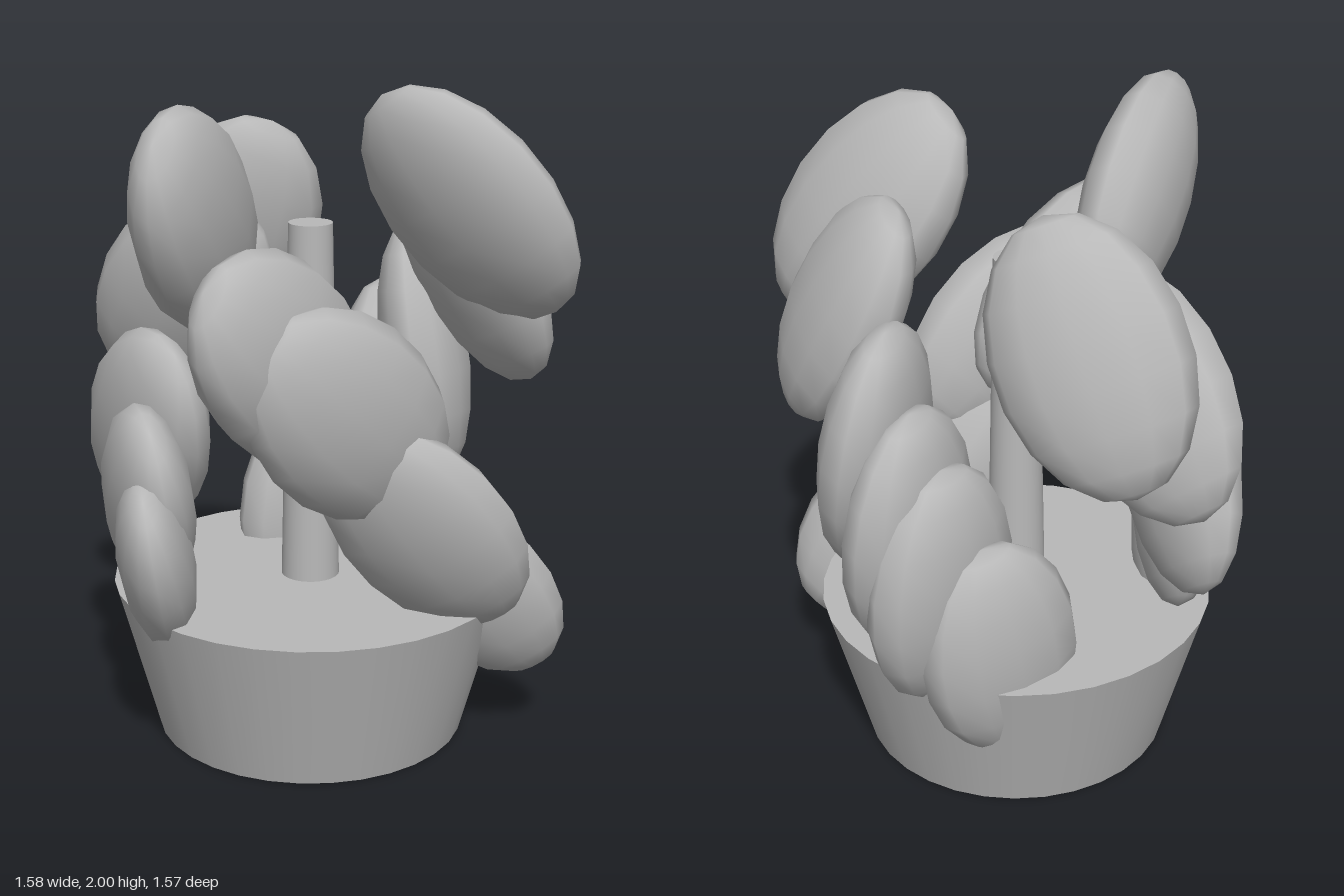
import * as THREE from 'three';

const grey = new THREE.MeshStandardMaterial({ color: 0xb8b8b8 });
grey.name = 'plain grey';

// Each pad: centre x, y, z, then heading of its blade, sideways lean and
// spin of its long axis within the blade, in degrees, and its size
const frontPads = [
  [0.53, 0.50, -0.08, -18, 15, -56, 0.81],
  [0.445, 0.755, 0.14, -15, 21, -57, 0.95],
  [0.295, 1.125, 0.34, 121, -6, 43, 0.98],
  [0.13, 1.29, 0.42, 101, 2, 38, 0.99],
  [-0.13, 1.65, 0.43, 80, 0, 40, 1],
];
const leftPads = [
  [-0.275, 0.63, 0.44, 238, -8, -52, 0.82],
  [-0.365, 0.77, 0.33, 227, -8, -50, 0.93],
  [-0.45, 0.94, 0.18, 211, -8, -50, 0.97],
  [-0.47, 1.30, -0.08, 178, -15, -51, 0.98],
  [-0.42, 1.47, -0.28, 157, -15, -68, 1],
];
const backPads = [
  [-0.23, 0.55, -0.44, 294, -2, 80, 0.91],
  [-0.08, 0.76, -0.52, 277, -4, 88, 0.96],
  [0.03, 0.91, -0.52, 265, -6, 84, 0.98],
  [0.18, 1.11, -0.47, 253, -10, 80, 1],
  [0.39, 1.425, -0.33, 30, 20, -68, 0.95],
  [0.46, 1.655, -0.12, 6, 23, -57, 1],
];

function createModel() {
  const model = new THREE.Group();
  model.name = 'pottedPlant';

  // Tapered pot
  const pot = new THREE.Mesh(new THREE.CylinderGeometry(0.605, 0.475, 0.48, 32), grey);
  pot.name = 'pot';
  pot.position.set(-0.005, 0.24, -0.03);
  model.add(pot);

  // Slim central stem
  const stem = new THREE.Mesh(new THREE.CylinderGeometry(0.066, 0.09, 1.15, 32), grey);
  stem.name = 'stem';
  stem.position.set(-0.005, 1.005, -0.03);
  model.add(stem);

  // Three rising chains of flattened pads winding round the stem
  const padShape = new THREE.SphereGeometry(1, 12, 9);
  padShape.rotateZ(Math.PI / 2);
  const rad = THREE.MathUtils.degToRad;
  const chains = { frontChain: frontPads, leftChain: leftPads, backChain: backPads };
  for (const [name, pads] of Object.entries(chains)) {
    const chain = new THREE.Group();
    chain.name = name;
    pads.forEach(([x, y, z, heading, lean, spin, size], i) => {
      const pad = new THREE.Mesh(padShape, grey);
      pad.name = `leafPad${i + 1}`;
      pad.position.set(x, y, z);
      pad.rotation.set(rad(lean), rad(-heading), rad(spin), 'YXZ');
      pad.scale.set(0.405, 0.28, 0.14).multiplyScalar(size);
      chain.add(pad);
    });
    model.add(chain);
  }
  return model;
}

export { createModel };
